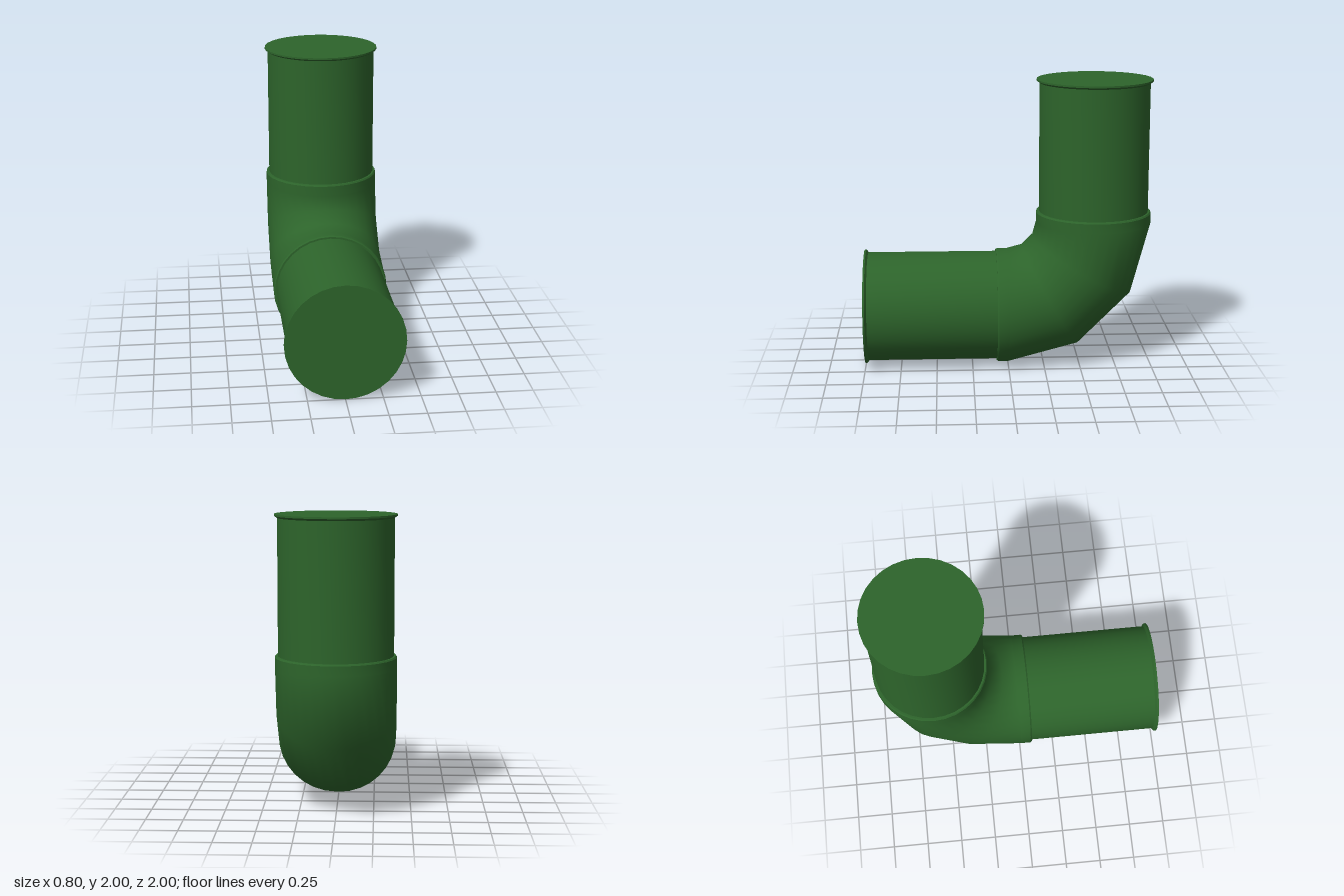
import * as THREE from 'three';
import { toCreasedNormals } from 'three/addons/utils/BufferGeometryUtils.js';

const SIDES = 32;
const R = 0.4;      // elbow and rim radius
const PIPE = 0.38;  // pipe radius
const BEND = 0.6;   // bend radius of the centre line

export function createModel() {
  const group = new THREE.Group();
  const material = new THREE.MeshStandardMaterial({ color: 0x2d642b });

  const add = (name, geometry) => {
    const mesh = new THREE.Mesh(geometry, material);
    mesh.name = name;
    group.add(mesh);
    return mesh;
  };
  const lathe = (points) => toCreasedNormals(
    new THREE.LatheGeometry(points.map(([r, y]) => new THREE.Vector2(r, y)), SIDES), 0.4);

  // Quarter-turn elbow in three segments, from the front leg up to the upright leg
  const elbow = new THREE.TorusGeometry(BEND, R, SIDES, 3, Math.PI / 2);
  elbow.applyMatrix4(new THREE.Matrix4().makeBasis(
    new THREE.Vector3(0, 0, -1), new THREE.Vector3(0, -1, 0), new THREE.Vector3(-1, 0, 0)));
  elbow.translate(0, 1, 0);
  add('elbow', elbow);

  // Elbow collar, straight pipe and closed end rim, shared by both legs
  const parts = {
    Collar: lathe([[R, 0], [R, 0.07], [0.393, 0.08], [PIPE, 0.08]]),
    Pipe: lathe([[PIPE, 0.07], [PIPE, 0.98]]),
    EndRim: lathe([[PIPE, 0.975], [R, 0.988], [R, 1], [0, 1]]),
  };
  for (const [part, geometry] of Object.entries(parts)) {
    add('upright' + part, geometry).position.set(0, 1, -BEND);
    const front = add('front' + part, geometry);
    front.position.set(0, R, 0);
    front.rotation.x = Math.PI / 2;
  }
  return group;
}
